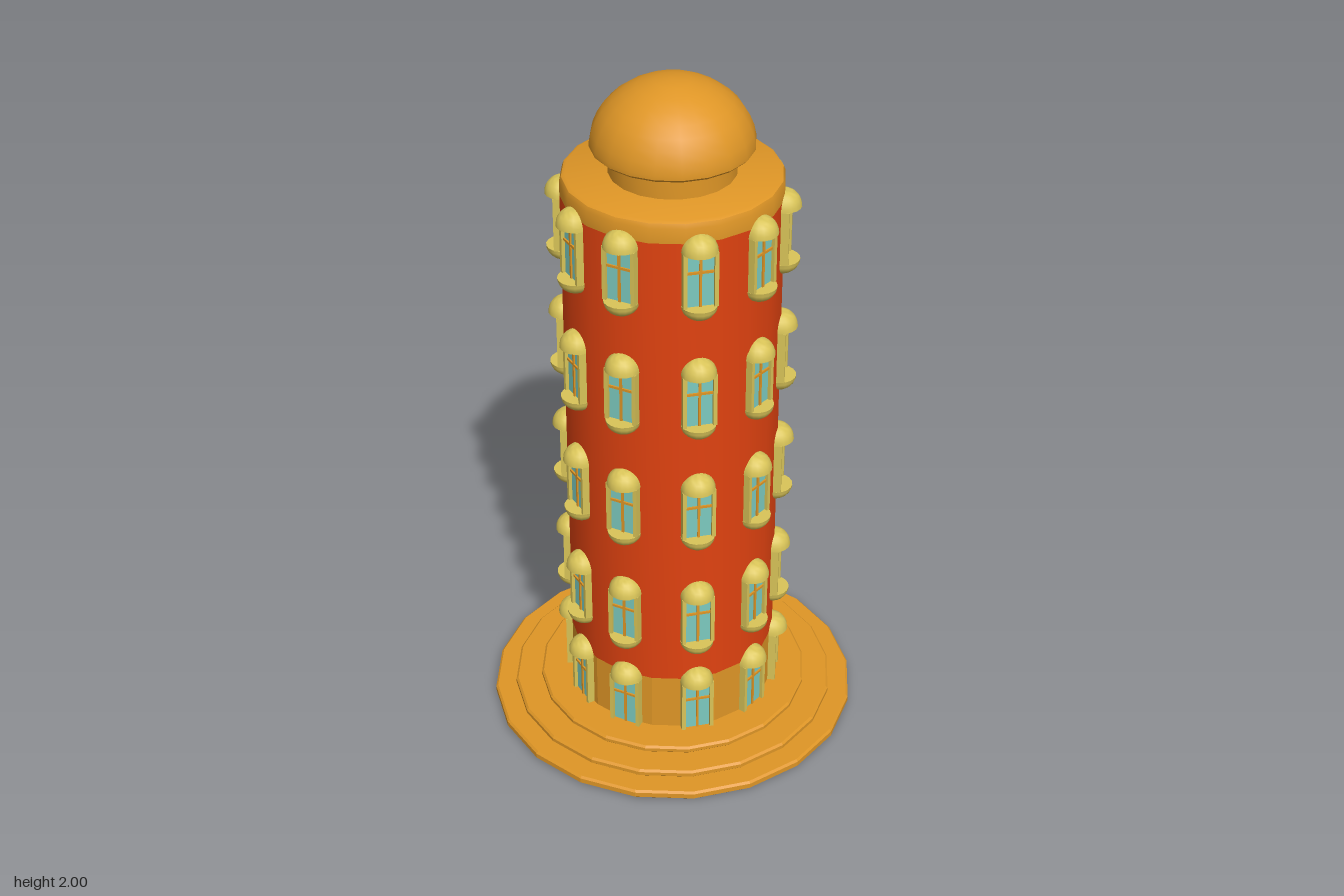
import * as THREE from 'three';
import { toCreasedNormals } from 'three/addons/utils/BufferGeometryUtils.js';

const SIDES = 20;
const paint = (name, color) => {
  const m = new THREE.MeshStandardMaterial({ color });
  m.name = name;
  return m;
};

// Closed turned solid; profile runs from the bottom up
function turned(profile, crease, sides = SIDES) {
  const pts = profile.map(([r, y]) => new THREE.Vector2(r, y));
  return toCreasedNormals(new THREE.LatheGeometry(pts, sides), crease);
}

// Half ball with a flat underside
function halfBall(r, h) {
  const profile = [[0, 0]];
  for (let i = 0; i <= 7; i++) {
    const a = (i / 7) * Math.PI / 2;
    profile.push([i === 7 ? 0 : r * Math.cos(a), h * Math.sin(a)]);
  }
  return turned(profile, 0.7, 18);
}

export function createModel() {
  const ochre = paint('ochre stone', 0xdf9626);
  const red = paint('red wall', 0xe04210);
  const straw = paint('straw trim', 0xd9c458);
  const glass = paint('window glass', 0x7ccabf);

  const model = new THREE.Group();
  model.name = 'roundTower';
  const add = (parent, name, geo, mat, x = 0, y = 0, z = 0) => {
    const mesh = new THREE.Mesh(geo, mat);
    mesh.name = name;
    mesh.position.set(x, y, z);
    parent.add(mesh);
    return mesh;
  };

  // Three chamfered steps
  [[0.537, 0, 0.027], [0.475, 0.027, 0.05], [0.397, 0.05, 0.072]].forEach(([r, y0, y1], i) => {
    const c = 0.006;
    add(model, 'step' + (i + 1),
      turned([[0, y0], [r - c, y0], [r, y0 + c], [r, y1 - c], [r - c, y1], [0, y1]], 0.2), ochre);
  });

  // Shaft: plinth storey, red wall, cornice
  add(model, 'plinth', turned([[0, 0.07], [0.3, 0.07], [0.3, 0.25], [0, 0.25]], 0.2), ochre);
  add(model, 'wall', turned([[0.3, 0.25], [0.3, 1.68]], 0.6), red);
  add(model, 'cornice',
    turned([[0.3, 1.68], [0.3, 1.722], [0.295, 1.735], [0.285, 1.74], [0, 1.74]], 0.65), ochre);

  // Neck and cap
  add(model, 'neck', turned([[0.172, 1.74], [0.172, 1.82]], 0.6), ochre);
  add(model, 'domeCap', turned([
    [0, 1.81], [0.212, 1.81], [0.22, 1.818], [0.22, 1.83], [0.214, 1.858], [0.202, 1.887],
    [0.185, 1.915], [0.16, 1.941], [0.13, 1.963], [0.095, 1.981], [0.05, 1.995], [0, 2],
  ], 0.75), ochre);

  // Windows: unevenly spaced around the shaft, the same on every storey
  const angles = [25, 61.5, 93.5, 132, 171.5, -154.5, -118.5, -85, -48.5, -15];
  const awning = halfBall(0.049, 0.049);
  const bowl = halfBall(0.049, 0.042);
  const floors = [
    { y0: 0.072, y1: 0.238, sill: false },
    ...[0.548, 0.917, 1.286, 1.655].map(y => ({ y0: y - 0.157, y1: y, sill: true })),
  ];

  floors.forEach(({ y0, y1, sill }, f) => {
    const h = y1 - y0, mid = (y0 + y1) / 2;
    const jamb = new THREE.BoxGeometry(0.011, h, 0.045);
    const pane = new THREE.BoxGeometry(0.074, h, 0.009);
    const mullion = new THREE.BoxGeometry(0.007, h, 0.012);
    const bar = new THREE.BoxGeometry(0.074, 0.007, 0.012);
    for (const deg of angles) {
      const w = new THREE.Group();
      w.name = 'windowFloor' + (f + 1);
      w.rotation.y = THREE.MathUtils.degToRad(deg);
      for (const s of [-1, 1]) add(w, 'jamb', jamb, straw, s * 0.0415, mid, 0.293);
      add(w, 'pane', pane, glass, 0, mid, 0.301);
      add(w, 'mullion', mullion, ochre, 0, mid, 0.304);
      add(w, 'crossbar', bar, ochre, 0, y1 - h * 0.36, 0.304);
      add(w, 'awning', awning, straw, 0, y1, 0.295);
      if (sill) add(w, 'sillBowl', bowl, straw, 0, y0, 0.295).rotation.x = Math.PI;
      model.add(w);
    }
  });
  return model;
}
